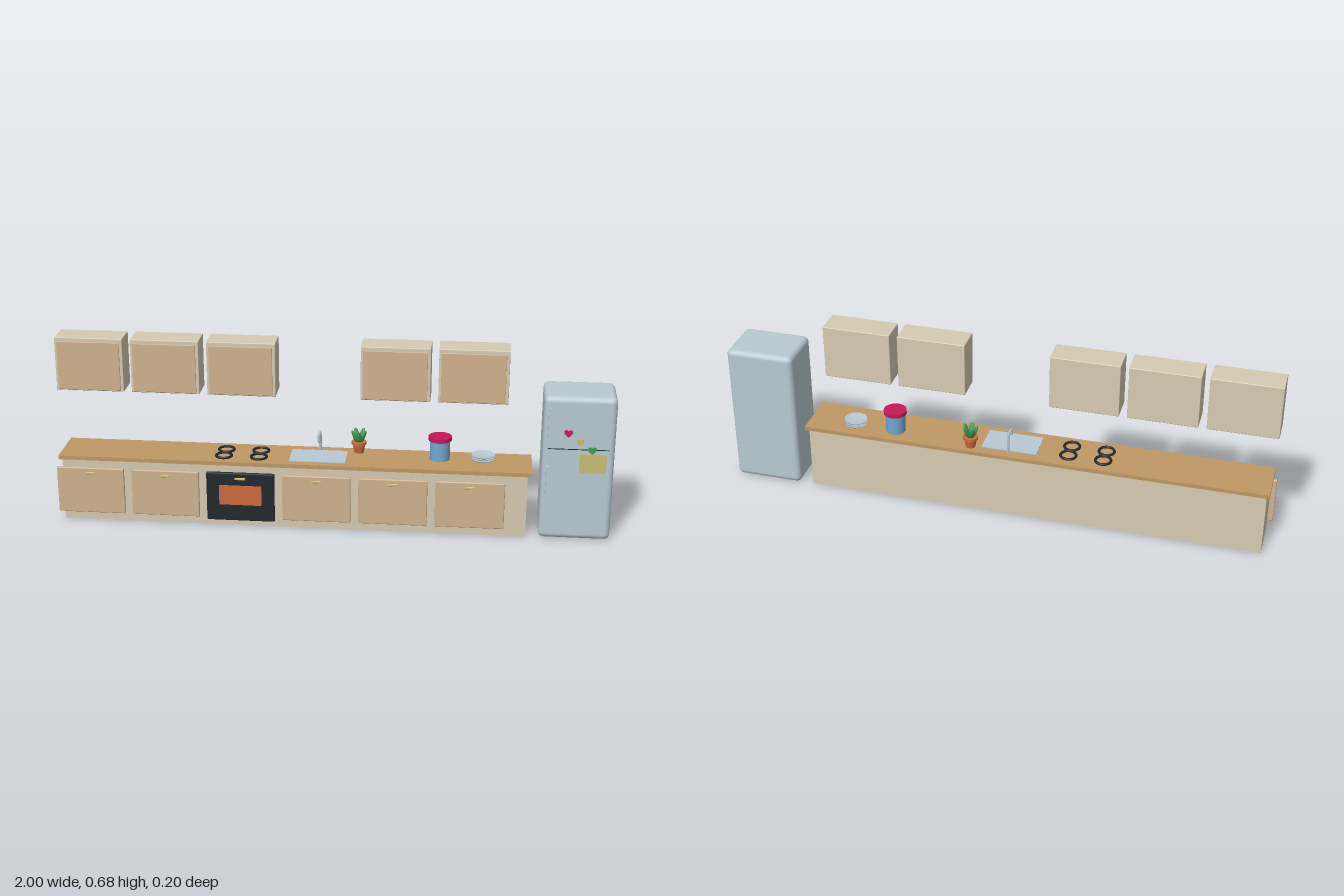
import * as THREE from 'three';
import { RoundedBoxGeometry } from 'three/addons/geometries/RoundedBoxGeometry.js';

const paint = (name, color) => {
  const m = new THREE.MeshStandardMaterial({ color });
  m.name = name;
  return m;
};

export function createModel() {
  const cream = paint('cream', 0xd6cab2);
  const tan = paint('tan', 0xd0b390);
  const wood = paint('wood', 0xbf9865);
  const steel = paint('pale steel', 0xb9c9d3);
  const black = paint('black', 0x22282f);
  const orange = paint('orange', 0xcb6c3e);
  const green = paint('green', 0x3f9a55);
  const crimson = paint('crimson', 0xc8185a);
  const yellow = paint('yellow', 0xcabd76);
  const blue = paint('blue', 0x72a8cd);

  const root = new THREE.Group();
  root.name = 'kitchen';
  const group = (name, x = 0, y = 0, z = 0) => {
    const g = new THREE.Group();
    g.name = name;
    g.position.set(x, y, z);
    root.add(g);
    return g;
  };
  const add = (parent, name, geo, mat, x = 0, y = 0, z = 0) => {
    const m = new THREE.Mesh(geo, mat);
    m.name = name;
    m.position.set(x, y, z);
    parent.add(m);
    return m;
  };
  // box given by its min and max on each axis
  const box = (parent, name, mat, [x0, x1], [y0, y1], [z0, z1], r = 0) => {
    const s = [x1 - x0, y1 - y0, z1 - z0];
    const geo = r ? new RoundedBoxGeometry(...s, 3, r) : new THREE.BoxGeometry(...s);
    return add(parent, name, geo, mat, (x0 + x1) / 2, (y0 + y1) / 2, (z0 + z1) / 2);
  };

  // counter
  const counter = group('counter');
  box(counter, 'base', cream, [-0.98, 0.7], [0, 0.236], [-0.085, 0.078]);
  box(counter, 'worktop', wood, [-0.99, 0.715], [0.236, 0.25], [-0.09, 0.092]);

  // six lower fronts, the third is the oven
  const starts = [-1, -0.725, -0.45, -0.175, 0.1, 0.375];
  const W = 0.247;
  starts.forEach((x, i) => {
    const c = x + W / 2;
    if (i === 2) {
      box(counter, 'ovenDoor', black, [x, x + W], [0.022, 0.207], [0.078, 0.092], 0.004);
      box(counter, 'ovenWindow', orange, [c - 0.077, c + 0.077], [0.085, 0.16], [0.09, 0.095]);
    } else {
      box(counter, 'lowerDoor', tan, [x, x + W], [0.03, 0.205], [0.078, 0.09], 0.004);
    }
    box(counter, 'doorHandle', yellow, [c - 0.019, c + 0.019], [0.182, 0.19], [0.09, 0.096], 0.002);
  });

  // wall cabinets, none above the sink
  for (const x of starts.filter((_, i) => i !== 3)) {
    const cabinet = group('wallCabinet');
    box(cabinet, 'cabinetBody', cream, [x, x + W], [0.477, 0.675], [-0.082, 0.018], 0.003);
    box(cabinet, 'cabinetDoor', tan, [x + 0.009, x + W - 0.011], [0.482, 0.662], [0.018, 0.024], 0.002);
  }

  // hob: two pairs of rings
  const hob = group('hob', 0, 0.253, 0);
  const ring = new THREE.TorusGeometry(0.028, 0.005, 8, 28);
  ring.rotateX(Math.PI / 2);
  for (const x of [-0.392, -0.265]) for (const z of [0.035, -0.026]) add(hob, 'burner', ring, black, x, 0, z);

  // sink and tap
  const sink = group('sink');
  box(sink, 'basin', steel, [-0.153, 0.05], [0.249, 0.253], [-0.052, 0.064]);
  const tapPath = new THREE.CurvePath();
  const pts = [[0.25, -0.062], [0.322, -0.062], [0.322, -0.014], [0.3, -0.014]]
    .map(([y, z]) => new THREE.Vector3(-0.052, y, z));
  for (let i = 0; i < 3; i++) tapPath.add(new THREE.LineCurve3(pts[i], pts[i + 1]));
  add(sink, 'tap', new THREE.TubeGeometry(tapPath, 36, 0.005, 8), steel);
  add(sink, 'tapEnd', new THREE.SphereGeometry(0.005, 8, 6), steel, -0.052, 0.3, -0.014);

  // potted plant
  const plant = group('plant', 0.09, 0.25, -0.055);
  add(plant, 'pot', new THREE.CylinderGeometry(0.024, 0.017, 0.034, 20), orange, 0, 0.017, 0);
  add(plant, 'potRim', new THREE.CylinderGeometry(0.027, 0.027, 0.01, 20), orange, 0, 0.037, 0);
  const leaf = new THREE.SphereGeometry(1, 12, 8);
  leaf.scale(0.011, 0.028, 0.006);
  leaf.translate(0, 0.026, 0);
  for (let i = 0; i < 5; i++) {
    const stem = new THREE.Group();
    stem.name = 'leafStem';
    stem.position.y = 0.036;
    stem.rotation.y = (i * Math.PI * 2) / 5;
    plant.add(stem);
    add(stem, 'leaf', leaf, green, 0, 0, 0.007).rotation.x = 0.38;
  }

  // storage jar
  const jar = group('jar', 0.385, 0.25, -0.02);
  add(jar, 'jarBody', new THREE.CylinderGeometry(0.036, 0.036, 0.074, 28), blue, 0, 0.037, 0);
  add(jar, 'jarLid', new THREE.CylinderGeometry(0.042, 0.042, 0.014, 28), crimson, 0, 0.08, 0);

  // stack of plates
  const plates = group('plates', 0.54, 0.25, -0.02);
  const profile = [[0, 0], [0.028, 0], [0.043, 0.007], [0.042, 0.009], [0.027, 0.004], [0, 0.004]]
    .map(([x, y]) => new THREE.Vector2(x, y));
  for (let i = 0; i < 3; i++) add(plates, 'plate', new THREE.LatheGeometry(profile, 28), steel, 0, i * 0.007, 0);

  // fridge
  const fridge = group('fridge');
  box(fridge, 'fridgeBody', steel, [0.745, 0.997], [0.002, 0.536], [-0.102, 0.088], 0.02);
  box(fridge, 'doorSeam', black, [0.765, 0.977], [0.3445, 0.3475], [0.086, 0.0886]);
  for (const [y0, y1] of [[0.18, 0.283], [0.39, 0.498]]) {
    box(fridge, 'fridgeHandle', steel, [0.761, 0.769], [y0, y1], [0.086, 0.102]);
  }

  // magnets and note
  box(fridge, 'note', yellow, [0.876, 0.969], [0.262, 0.332], [0.094, 0.098]);
  const heart = new THREE.Shape();
  heart.moveTo(0, -0.013);
  heart.bezierCurveTo(-0.008, -0.006, -0.016, 0, -0.015, 0.006);
  heart.bezierCurveTo(-0.013, 0.014, -0.003, 0.014, 0, 0.007);
  heart.bezierCurveTo(0.003, 0.014, 0.013, 0.014, 0.015, 0.006);
  heart.bezierCurveTo(0.016, 0, 0.008, -0.006, 0, -0.013);
  const heartGeo = new THREE.ExtrudeGeometry(heart, { depth: 0.008, bevelEnabled: false, curveSegments: 6 });
  add(fridge, 'heartMagnet', heartGeo, crimson, 0.832, 0.408, 0.095);
  add(fridge, 'heartMagnet', heartGeo, green, 0.917, 0.347, 0.095);
  const disc = new THREE.CylinderGeometry(0.012, 0.012, 0.008, 20);
  disc.rotateX(Math.PI / 2);
  add(fridge, 'roundMagnet', disc, yellow, 0.874, 0.379, 0.099);

  return root;
}
